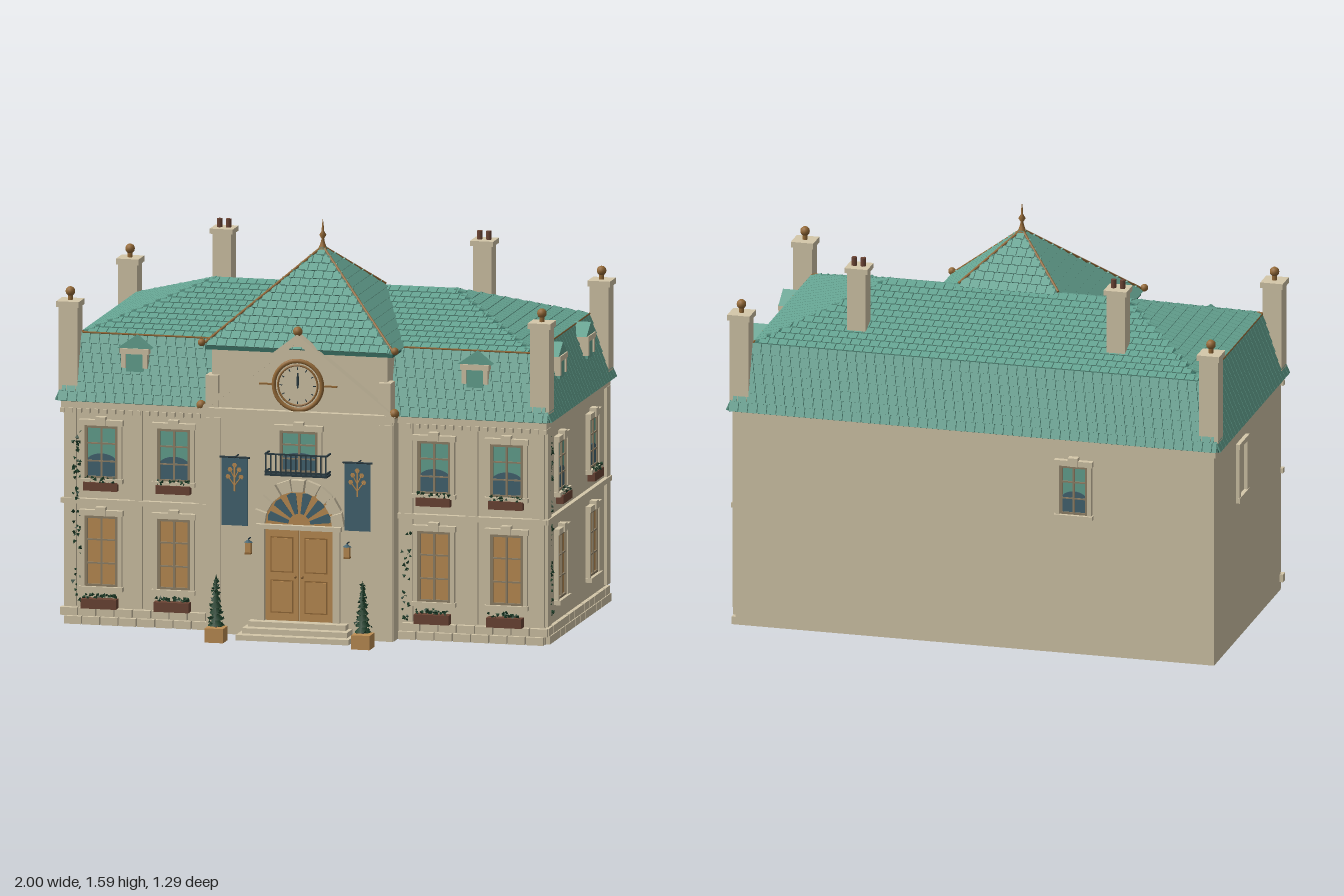
import * as THREE from 'three';
import { mergeGeometries } from 'three/addons/utils/BufferGeometryUtils.js';

const paint = (name, color) => Object.assign(new THREE.MeshStandardMaterial({ color }), { name });
const M = {
  stone: paint('cream stone', 0xd5c8aa), taupe: paint('taupe frame', 0x93846a),
  teal: paint('teal tile', 0x66a593), deep: paint('dark teal', 0x3a7063),
  amber: paint('amber wood', 0xbf8f54), bronze: paint('bronze', 0x966b38),
  brown: paint('brown planter', 0x6e4636), leaf: paint('dark leaf', 0x20402b),
  blue: paint('slate blue', 0x456673), iron: paint('iron', 0x2a3b42),
};
M.leaf.side = M.deep.side = THREE.DoubleSide;
const V = (x, y, z) => new THREE.Vector3(x, y, z);
const UP = V(0, 1, 0);

function add(parent, name, geo, mat, x = 0, y = 0, z = 0) {
  const m = new THREE.Mesh(geo, mat);
  m.name = name;
  m.position.set(x, y, z);
  parent.add(m);
  return m;
}
// Box given by its lower and upper limits on each axis
function block(parent, name, mat, x0, x1, y0, y1, z0, z1) {
  return add(parent, name, new THREE.BoxGeometry(x1 - x0, y1 - y0, z1 - z0), mat, (x0 + x1) / 2, (y0 + y1) / 2, (z0 + z1) / 2);
}
const ball = (p, name, r, x, y, z) => add(p, name, new THREE.SphereGeometry(r, 12, 8), M.bronze, x, y, z);
function bar(parent, name, mat, a, b, r) {
  const d = b.clone().sub(a), m = add(parent, name, new THREE.CylinderGeometry(r, r, d.length(), 6), mat);
  m.position.copy(a).lerp(b, 0.5);
  m.quaternion.setFromUnitVectors(UP, d.normalize());
}
function group(parent, name, x = 0, y = 0, z = 0, turn = 0) {
  const g = new THREE.Group();
  g.name = name;
  g.position.set(x, y, z);
  g.rotation.y = turn;
  parent.add(g);
  return g;
}
function plate(parent, name, mat, points, depth, x, y, z) {
  const s = new THREE.Shape(points.map(p => new THREE.Vector2(...p)));
  return add(parent, name, new THREE.ExtrudeGeometry(s, { depth, bevelEnabled: false }), mat, x, y, z);
}
const arc = (rx, ry, n = 16) => Array.from({ length: n + 1 }, (_, i) => [rx * Math.cos(Math.PI * i / n), ry * Math.sin(Math.PI * i / n)]);
let seed = 7;
const rnd = () => (seed = (seed * 16807) % 2147483647) / 2147483647;

// Sloped face of staggered tiles; corners run counter-clockwise from lower left
function slope(parent, name, a, b, c, d) {
  const u = b.clone().sub(a).normalize();
  const rise = c.clone().add(d).sub(a).sub(b).multiplyScalar(0.5), len = rise.length();
  rise.normalize();
  const n = u.clone().cross(rise), rows = Math.round(len / 0.04), h = len / rows, w = 0.038, tiles = [];
  const tilt = rise.clone().addScaledVector(n, -0.1).normalize(), out = u.clone().cross(tilt);
  for (let i = 0; i < rows; i++) {
    const t = (i + 0.5) / rows, L = a.clone().lerp(d, t), width = L.distanceTo(b.clone().lerp(c, t));
    for (let s = i % 2 ? -w / 2 : 0; s < width; s += w) {
      const s0 = Math.max(s, 0), s1 = Math.min(s + w, width);
      if (s1 - s0 < 0.008) continue;
      const p = L.clone().addScaledVector(u, (s0 + s1) / 2).addScaledVector(n, 0.003);
      const g = new THREE.BoxGeometry(s1 - s0 - 0.003, h * 1.12, 0.006);
      tiles.push(g.applyMatrix4(new THREE.Matrix4().makeBasis(u, tilt, out).setPosition(p)));
    }
  }
  add(parent, name + 'Tiles', mergeGeometries(tiles), M.teal);
  const under = new THREE.BufferGeometry().setFromPoints([a, b, c, a, c, d]);
  under.computeVertexNormals();
  add(parent, name + 'Underlay', under, M.deep);
}
// Four slopes between two level rectangles [x, zBack, zFront, y]
function hipped(parent, name, lo, hi) {
  const corners = ([x, zb, zf, y]) => [V(-x, y, zf), V(x, y, zf), V(x, y, zb), V(-x, y, zb)];
  const p = corners(lo), q = corners(hi);
  ['Front', 'Right', 'Back', 'Left'].forEach((side, i) => {
    const j = (i + 1) % 4;
    slope(parent, name + side, p[i], p[j], q[j], q[i]);
  });
}
// Clump of small leaves within a box-shaped region
function leaves(parent, name, count, w, h, d, x, y, z, size = 0.01) {
  const list = [];
  for (let i = 0; i < count; i++) {
    const g = new THREE.TetrahedronGeometry(size * (0.6 + 0.5 * rnd()));
    list.push(g.rotateY(rnd() * 6).rotateX(rnd() * 6).translate((rnd() - 0.5) * w, rnd() * h, (rnd() - 0.5) * d));
  }
  add(parent, name, mergeGeometries(list), M.leaf, x, y, z);
}
// Window facing +z with its lower edge at the origin
function sash(parent, x, y, z, turn, h, lower, box, w = 0.13) {
  const g = group(parent, 'window', x, y, z, turn), r = w / 2;
  block(g, 'pane', lower ? M.amber : M.teal, -r, r, 0, h, -0.036, 0.004);
  if (!lower) plate(g, 'lowerPane', M.blue, [[-r, 0], [r, 0], ...arc(r, h * 0.2).map(([a, b]) => [a, b + h * 0.27])], 0.003, 0, 0, 0.004);
  for (const s of [-1, 1]) {
    block(g, 'jamb', M.stone, s * (r + 0.009) - 0.008, s * (r + 0.009) + 0.008, 0, h, 0, 0.018);
    block(g, 'sashEdge', M.taupe, s * (r - 0.004) - 0.006, s * (r - 0.004) + 0.006, 0, h, 0, 0.012);
  }
  for (const t of [0.005, h - 0.006]) block(g, 'sashRail', M.taupe, -r, r, t - 0.005, t + 0.005, 0, 0.012);
  block(g, 'lintel', M.stone, -r - 0.022, r + 0.022, h, h + 0.022, 0, 0.022);
  block(g, 'keystone', M.stone, -0.02, 0.02, h + 0.001, h + 0.035, 0, 0.028);
  block(g, 'sill', M.stone, -r - 0.022, r + 0.022, -0.016, 0.001, 0, 0.026);
  block(g, 'mullion', M.taupe, -0.004, 0.004, 0, h, 0, 0.011);
  for (const t of [0.33, 0.66]) block(g, 'glazingBar', M.taupe, -r, r, h * t - 0.003, h * t + 0.003, 0, 0.01);
  if (box) {
    block(g, 'flowerBox', M.brown, -0.068, 0.068, -0.045, -0.012, 0.004, 0.034);
    leaves(g, 'flowerBoxPlants', 24, 0.13, 0.018, 0.022, 0, -0.012, 0.02);
  }
}
// Dormer with a cream surround under a wide gable
function dormer(parent, x, y, z, turn) {
  const g = group(parent, 'dormer', x, y, z, turn);
  block(g, 'dormerPane', M.teal, -0.034, 0.034, -0.01, 0.065, -0.06, 0.002);
  for (const s of [-1, 1]) block(g, 'dormerJamb', M.stone, s * 0.043 - 0.009, s * 0.043 + 0.009, 0.005, 0.08, -0.08, 0.008);
  block(g, 'dormerHead', M.stone, -0.057, 0.057, 0.06, 0.082, -0.08, 0.01);
  plate(g, 'dormerGable', M.teal, [[-0.068, 0.082], [0.068, 0.082], [0, 0.13]], 0.11, 0, 0, -0.105);
}

export function createModel() {
  const root = new THREE.Group();
  root.name = 'townHall';

  // Hollow walls, projecting centre bay and ceiling
  const walls = group(root, 'walls');
  block(walls, 'backWall', M.stone, -0.96, 0.96, 0, 0.87, -0.61, -0.58);
  for (const s of [-1, 1]) {
    block(walls, 'sideWall', M.stone, s * 0.945 - 0.015, s * 0.945 + 0.015, 0, 0.87, -0.6, 0.36);
    block(walls, 'wingFront', M.stone, s * 0.655 - 0.3, s * 0.655 + 0.3, 0, 0.87, 0.33, 0.36);
    block(walls, 'bayCheek', M.stone, s * 0.36 - 0.015, s * 0.36 + 0.015, 0, 0.87, 0.33, 0.43);
    block(walls, 'atticBlock', M.stone, s * 0.345 - 0.025, s * 0.345 + 0.025, 0.88, 1.02, 0.4, 0.465);
    for (const x of [0.935, 0.67, 0.41]) block(walls, 'pilaster', M.stone, s * x - 0.024, s * x + 0.024, 0.07, 0.85, 0.36, 0.375);
    block(walls, 'bayPilaster', M.stone, s * 0.345 - 0.028, s * 0.345 + 0.028, 0, 0.85, 0.43, 0.446);
    block(walls, 'stringCourse', M.stone, s * 0.67 - 0.3, s * 0.67 + 0.3, 0.475, 0.495, 0.36, 0.382);
    for (let i = 0; i < 17; i++) block(walls, 'dentil', M.stone, s * (0.42 + i * 0.034) - 0.008, s * (0.42 + i * 0.034) + 0.008, 0.832, 0.85, 0.36, 0.385);
  }
  block(walls, 'bayFront', M.stone, -0.37, 0.37, 0, 0.87, 0.41, 0.44);
  block(walls, 'attic', M.stone, -0.35, 0.35, 0.86, 1.13, -0.1, 0.44);
  block(walls, 'ceilingCornice', M.stone, -0.97, 0.97, 0.85, 0.887, -0.622, 0.375);
  block(walls, 'sideString', M.stone, 0.96, 0.978, 0.475, 0.495, -0.61, 0.38);
  for (const z of [0.335, -0.585]) block(walls, 'cornerStrip', M.stone, 0.96, 0.972, 0.07, 0.85, z - 0.025, z + 0.025);
  // Plinth of staggered stones on the wings and right side
  for (let row = 0; row < 2; row++) {
    const y0 = row * 0.034, y1 = y0 + 0.031;
    for (let i = 0; i < 8; i++) {
      for (const s of [-1, 1]) {
        const c = s * (0.412 + i * 0.073 + row * 0.016);
        block(walls, 'plinthStone', M.stone, c - 0.034, c + 0.034, y0, y1, 0.35, 0.382);
      }
    }
    for (let i = 0; i < 12; i++) block(walls, 'sidePlinthStone', M.stone, 0.95, 0.976, y0, y1, -0.61 + i * 0.08 + row * 0.02, -0.535 + i * 0.08 + row * 0.02);
  }

  // Mansard, upper roof and pavilion roof
  const roof = group(root, 'roof');
  hipped(roof, 'mansard', [0.985, -0.64, 0.39, 0.88], [0.9, -0.56, 0.31, 1.135]);
  hipped(roof, 'upperRoof', [0.9, -0.56, 0.31, 1.135], [0.48, -0.121, -0.12, 1.293]);
  hipped(roof, 'pavilionRoof', [0.38, -0.31, 0.46, 1.135], [0.002, 0.078, 0.082, 1.47]);
  block(roof, 'pavilionEave', M.deep, -0.375, 0.375, 1.12, 1.135, -0.05, 0.455);
  const apex = V(0, 1.476, 0.08);
  for (const s of [-1, 1]) {
    bar(roof, 'frontHip', M.bronze, V(s * 0.383, 1.14, 0.463), apex, 0.005);
    bar(roof, 'backHip', M.bronze, V(s * 0.2, 1.302, -0.12), apex, 0.005);
    bar(roof, 'sideFlashing', M.bronze, V(s * 0.903, 1.138, -0.56), V(s * 0.903, 1.138, 0.31), 0.004);
    bar(roof, 'frontFlashing', M.bronze, V(s * 0.9, 1.138, 0.313), V(s * 0.38, 1.138, 0.313), 0.004);
    ball(roof, 'eaveBall', 0.015, s * 0.386, 1.148, 0.463);
  }
  const finial = [[0.018, 0], [0.01, 0.02], [0.005, 0.04], [0.014, 0.055], [0.005, 0.07], [0.004, 0.09], [0, 0.12]];
  add(roof, 'finial', new THREE.LatheGeometry(finial.map(p => new THREE.Vector2(...p)), 12), M.bronze, 0, 1.465, 0.08);

  // Corner piers, chimneys and dormers
  for (const s of [-1, 1]) {
    for (const z of [0.34, -0.59]) {
      const g = group(root, 'cornerPier', s * 0.942, 0, z);
      block(g, 'pier', M.stone, -0.038, 0.038, 0.88, 1.25, -0.038, 0.038);
      block(g, 'pierCap', M.stone, -0.045, 0.045, 1.245, 1.268, -0.045, 0.045);
      ball(g, 'pierBall', 0.019, 0, 1.302, 0);
      bar(g, 'pierNeck', M.bronze, V(0, 1.26, 0), V(0, 1.29, 0), 0.01);
    }
    const c = group(root, 'chimney', s * 0.52, 0, -0.41);
    block(c, 'stack', M.stone, -0.037, 0.037, 1.12, 1.425, -0.037, 0.037);
    block(c, 'stackCap', M.stone, -0.046, 0.046, 1.418, 1.438, -0.046, 0.046);
    for (const x of [-0.018, 0.018]) bar(c, 'chimneyPot', M.brown, V(x, 1.43, 0), V(x, 1.472, 0), 0.011);
    dormer(root, s * 0.68, 1.01, 0.36, 0);
  }
  for (const z of [0.09, -0.345]) dormer(root, 0.957, 1.015, z, Math.PI / 2);

  // Windows
  for (const x of [-0.81, -0.52, 0.52, 0.81]) {
    sash(root, x, 0.15, 0.362, 0, 0.28, true, false);
    sash(root, x, 0.575, 0.362, 0, 0.21, false, true);
    const b = group(root, 'groundPlanter', x, 0.07, 0.4);
    block(b, 'trough', M.brown, -0.07, 0.07, 0, 0.038, -0.02, 0.02);
    leaves(b, 'troughPlants', 26, 0.13, 0.02, 0.03, 0, 0.036, 0);
  }
  for (const z of [0.145, -0.345]) {
    sash(root, 0.962, 0.15, z, Math.PI / 2, 0.26, true, false);
    sash(root, 0.962, 0.575, z, Math.PI / 2, 0.2, false, true);
  }
  sash(root, -0.4, 0.57, -0.612, Math.PI, 0.2, false, false, 0.11);
  const blind = group(root, 'blindWindow', -0.96, 0.57, -0.22, -Math.PI / 2);
  for (const s of [-1, 1]) block(blind, 'blindJamb', M.stone, s * 0.06 - 0.011, s * 0.06 + 0.011, 0, 0.22, 0, 0.014);
  for (const y of [-0.01, 0.21]) block(blind, 'blindLedge', M.stone, -0.072, 0.072, y, y + 0.02, 0, 0.016);

  // Pediment with clock
  const ped = group(root, 'pediment');
  plate(ped, 'tympanum', M.stone, [[-0.37, 0.89], [0.37, 0.89], [0, 1.18]], 0.018, 0, 0, 0.44);
  block(ped, 'pedimentBase', M.stone, -0.39, 0.39, 0.87, 0.895, 0.43, 0.485);
  for (const s of [-1, 1]) {
    const rake = [[s * 0.395, 0.89], [s * 0.36, 0.89], [0, 1.165], [0, 1.2]];
    plate(ped, 'rakingCornice', M.stone, s > 0 ? rake.reverse() : rake, 0.045, 0, 0, 0.44);
    ball(ped, 'pedimentBall', 0.019, s * 0.386, 0.903, 0.47);
    block(ped, 'clockBar', M.bronze, s * 0.13 - 0.025, s * 0.13 + 0.025, 0.994, 1.0, 0.455, 0.468);
  }
  ball(ped, 'apexBall', 0.019, 0, 1.21, 0.47);
  const clock = group(root, 'clock', 0, 0.997, 0.46);
  add(clock, 'clockFace', new THREE.CylinderGeometry(0.1, 0.1, 0.02, 32), M.stone).rotation.x = Math.PI / 2;
  add(clock, 'outerRing', new THREE.TorusGeometry(0.096, 0.009, 8, 36), M.bronze, 0, 0, 0.008);
  add(clock, 'innerRing', new THREE.TorusGeometry(0.079, 0.004, 6, 32), M.bronze, 0, 0, 0.01);
  for (let i = 0; i < 12; i++) {
    const a = i * Math.PI / 6;
    bar(clock, 'hourMark', M.iron, V(Math.sin(a) * 0.062, Math.cos(a) * 0.062, 0.011), V(Math.sin(a) * 0.072, Math.cos(a) * 0.072, 0.011), 0.002);
  }
  block(clock, 'minuteHand', M.iron, -0.0025, 0.0025, -0.01, 0.05, 0.01, 0.016);
  block(clock, 'hourHand', M.iron, -0.004, 0.004, 0, 0.035, 0.01, 0.018);

  // Balcony with its window
  sash(root, 0, 0.65, 0.442, 0, 0.165, false, false, 0.15);
  const balcony = group(root, 'balcony');
  block(balcony, 'balconyFloor', M.iron, -0.125, 0.125, 0.643, 0.65, 0.44, 0.503);
  for (const y of [0.655, 0.725]) {
    block(balcony, 'frontRail', M.iron, -0.125, 0.125, y, y + 0.006, 0.496, 0.502);
    for (const s of [-1, 1]) block(balcony, 'sideRail', M.iron, s * 0.122 - 0.003, s * 0.122 + 0.003, y, y + 0.006, 0.44, 0.5);
  }
  for (let i = 0; i < 13; i++) bar(balcony, 'baluster', M.iron, V(-0.12 + i * 0.02, 0.65, 0.499), V(-0.12 + i * 0.02, 0.728, 0.499), 0.003);

  // Doorway: double doors, fanlight and arch stones
  const door = group(root, 'doorway', 0, 0.065, 0.44);
  for (const s of [-1, 1]) {
    block(door, 'doorLeaf', M.amber, s * 0.068 - 0.066, s * 0.068 + 0.066, 0, 0.36, -0.036, 0.008);
    for (const [y0, y1] of [[0.03, 0.16], [0.19, 0.33]]) {
      block(door, 'panelRim', M.bronze, s * 0.068 - 0.046, s * 0.068 + 0.046, y0, y1, 0, 0.01);
      block(door, 'doorPanel', M.amber, s * 0.068 - 0.041, s * 0.068 + 0.041, y0 + 0.005, y1 - 0.005, 0, 0.013);
    }
    ball(door, 'doorKnob', 0.006, s * 0.014, 0.175, 0.015);
    block(door, 'doorJamb', M.stone, s * 0.15 - 0.014, s * 0.15 + 0.014, 0, 0.36, 0, 0.022);
  }
  block(door, 'transom', M.stone, -0.17, 0.17, 0.36, 0.378, 0, 0.026);
  plate(door, 'fanlight', M.amber, arc(0.138, 0.138), 0.04, 0, 0.378, -0.036);
  const at = (r, t) => [r * Math.cos(t), r * Math.sin(t)];
  for (let i = 0; i < 9; i++) {
    const a = (i + 0.5) * Math.PI / 9, m = 0.15;
    plate(door, 'archStone', M.stone, [at(0.135, a - m), at(0.182, a - m), at(0.182, a + m), at(0.135, a + m)], 0.024 + (i === 4 ? 0.01 : 0), 0, 0.378, 0);
  }
  for (let i = 0; i < 6; i++) {
    const a = (i + 0.5) * Math.PI / 6, m = 0.15;
    plate(door, 'fanPane', M.blue, [at(0.045, a - m), at(0.125, a - m), at(0.13, a), at(0.125, a + m), at(0.045, a + m)], 0.004, 0, 0.378, 0.004);
  }

  // Entrance steps
  for (let i = 0; i < 3; i++) block(root, 'step', M.stone, -0.225 + i * 0.015, 0.225 - i * 0.015, i * 0.021, i * 0.021 + 0.021, 0.42, 0.56 - i * 0.038);

  // Banners, lanterns and potted trees
  for (const s of [-1, 1]) {
    const b = group(root, 'banner', s * 0.245, 0, 0.495);
    block(b, 'bannerCloth', M.blue, -0.052, 0.052, 0.44, 0.705, -0.003, 0.003);
    bar(b, 'bannerRod', M.iron, V(-0.06, 0.708, 0), V(0.06, 0.708, 0), 0.004);
    bar(b, 'bannerArm', M.iron, V(0, 0.708, 0.01), V(0, 0.708, -0.06), 0.003);
    block(b, 'sprigStem', M.amber, -0.003, 0.003, 0.575, 0.67, 0.003, 0.006);
    for (const [x, y] of [[0, 0.678], [-0.018, 0.66], [0.018, 0.66], [-0.026, 0.632], [0.026, 0.632]]) {
      add(b, 'sprigLeaf', new THREE.CircleGeometry(0.01, 6), M.amber, x, y, 0.005);
      bar(b, 'sprigTwig', M.amber, V(0, y - 0.035, 0.004), V(x, y, 0.004), 0.0025);
    }
    const l = group(root, 'lantern', s * 0.197, 0.33, 0.47);
    block(l, 'lanternGlass', M.amber, -0.011, 0.011, 0, 0.04, -0.011, 0.011);
    add(l, 'lanternCap', new THREE.ConeGeometry(0.018, 0.014, 4), M.blue, 0, 0.047, 0);
    block(l, 'lanternBase', M.bronze, -0.012, 0.012, -0.005, 0.002, -0.012, 0.012);
    block(l, 'lanternArm', M.iron, -0.002, 0.002, 0.052, 0.056, -0.03, 0.002);
    const t = group(root, 'pottedTree', s * 0.293, 0, 0.6);
    block(t, 'pot', M.amber, -0.037, 0.037, 0, 0.056, -0.037, 0.037);
    bar(t, 'trunk', M.brown, V(0, 0.05, 0), V(0, 0.2, 0), 0.006);
    for (let i = 0; i < 8; i++) {
      const r = 0.034 - i * 0.0036;
      add(t, 'foliageTier', new THREE.ConeGeometry(r, 0.034, 7), M.leaf, 0, 0.08 + i * 0.024, 0).rotation.y = i;
      leaves(t, 'foliage', 10, r * 1.8, 0.02, r * 1.8, 0, 0.062 + i * 0.024, 0, 0.008);
    }
  }

  // Climbing ivy
  leaves(root, 'leftIvy', 60, 0.035, 0.68, 0.012, -0.905, 0.08, 0.377, 0.011);
  leaves(root, 'bayIvy', 26, 0.035, 0.36, 0.012, 0.41, 0.07, 0.378, 0.011);
  leaves(root, 'sideIvy', 70, 0.012, 0.72, 0.035, 0.967, 0.1, 0.3, 0.011);
  return root;
}
